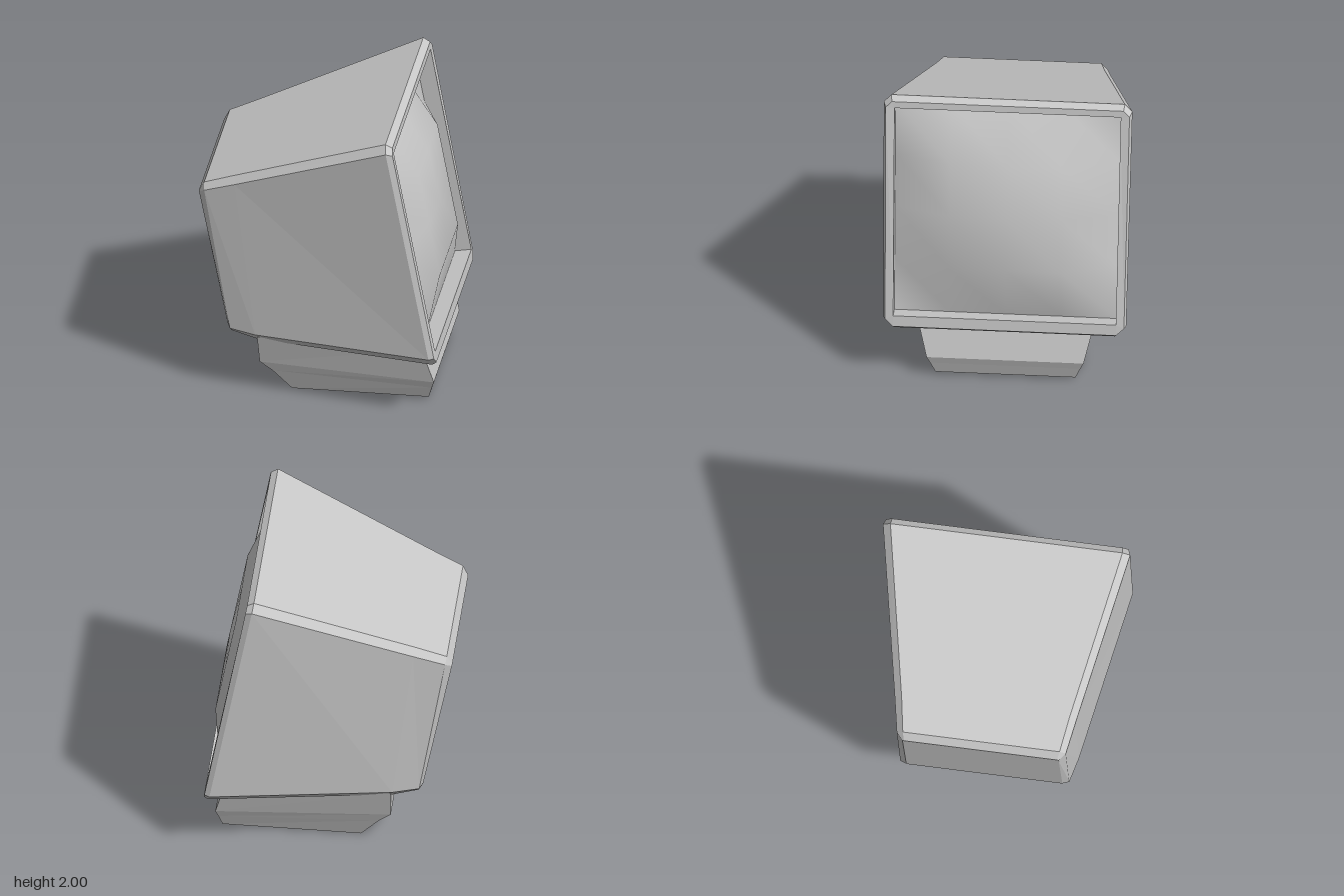
import * as THREE from 'three';

const grey = new THREE.MeshStandardMaterial({ color: 0xc8c8c8 });
grey.name = 'light grey plastic';

// Flat-faced skin through rings with equal point counts, with optional end caps
function loft(rings, capStart, capEnd) {
  const pos = [];
  const tri = (a, b, c) => {
    const area = b.clone().sub(a).cross(c.clone().sub(a)).length();
    if (area > 1e-7) pos.push(...a.toArray(), ...b.toArray(), ...c.toArray());
  };
  const n = rings[0].length;
  for (let i = 0; i < rings.length - 1; i++) {
    for (let j = 0; j < n; j++) {
      const k = (j + 1) % n;
      const [a, b, c, d] = [rings[i][j], rings[i][k], rings[i + 1][k], rings[i + 1][j]];
      tri(a, b, c);
      tri(a, c, d);
    }
  }
  const last = rings[rings.length - 1];
  for (let j = 1; j < n - 1; j++) {
    if (capStart) tri(rings[0][0], rings[0][j + 1], rings[0][j]);
    if (capEnd) tri(last[0], last[j], last[j + 1]);
  }
  const g = new THREE.BufferGeometry();
  g.setAttribute('position', new THREE.Float32BufferAttribute(pos, 3));
  g.computeVertexNormals();
  return g;
}

// Point on a tilted cross-section: u runs from top to bottom, w across
const section = ([tx, ty], [bx, by], ht, hb, u, w) => new THREE.Vector3(
  tx + (bx - tx) * u, ty + (by - ty) * u, w * (ht + (hb - ht) * u));

// Tilted rectangle with chamfered corners
function ring(top, bottom, ht, hb, ct, cb) {
  const len = Math.hypot(top[0] - bottom[0], top[1] - bottom[1]);
  const at = (u, w) => section(top, bottom, ht, hb, u, w);
  const t = ct / len, b = 1 - cb / len, wt = 1 - ct / ht, wb = 1 - cb / hb;
  return [at(b, -1), at(t, -1), at(0, -wt), at(0, wt),
    at(t, 1), at(b, 1), at(1, wb), at(1, -wb)];
}

function add(group, name, geometry) {
  const mesh = new THREE.Mesh(geometry, grey);
  mesh.name = name;
  group.add(mesh);
}

export function createModel() {
  const model = new THREE.Group();
  model.name = 'monitor';

  // Tapered housing, bevelled front rim and recess walls
  const screenTop = [0.408, 1.91], screenBottom = [0.677, 0.475];
  add(model, 'housing', loft([
    ring([-0.8, 1.43], [-0.61, 0.47], 0.51, 0.51, 0.01, 0.01),
    ring([-0.765, 1.495], [-0.585, 0.437], 0.552, 0.552, 0.04, 0.025),
    ring([-0.56, 1.579], [-0.41, 0.388], 0.592, 0.592, 0.045, 0.06),
    ring([0.465, 2.0], [0.765, 0.395], 0.808, 0.787, 0.05, 0.07),
    ring([0.51, 1.975], [0.795, 0.42], 0.792, 0.775, 0.04, 0.05),
    ring([0.516, 1.93], [0.785, 0.495], 0.735, 0.723, 0, 0),
    ring(screenTop, screenBottom, 0.735, 0.723, 0, 0),
  ], true, false));

  // Bulging smooth screen: a 4 x 4 patch raised along the tilted face's normal
  const N = 4, pos = [], idx = [];
  const rise = [0, 0.76, 1, 0.76, 0];
  const normal = new THREE.Vector3(0.983, 0.184, 0);
  for (let i = 0; i <= N; i++) {
    for (let j = 0; j <= N; j++) {
      const p = section(screenTop, screenBottom, 0.735, 0.723, i / N, j / 2 - 1);
      const inside = rise[i] * rise[j] > 0;
      const bulge = inside ? 0.115 + 0.045 * Math.min(rise[i], rise[j]) : 0;
      p.addScaledVector(normal, bulge);
      pos.push(...p.toArray());
      if (i < N && j < N) {
        const a = i * (N + 1) + j, b = a + 1, c = a + N + 1, d = c + 1;
        idx.push(a, b, c, b, d, c);
      }
    }
  }
  // Winding toward the front: reverse each triangle
  for (let k = 0; k < idx.length; k += 3) {
    const ab = new THREE.Vector3().fromArray(pos, idx[k + 1] * 3).sub(new THREE.Vector3().fromArray(pos, idx[k] * 3));
    const ac = new THREE.Vector3().fromArray(pos, idx[k + 2] * 3).sub(new THREE.Vector3().fromArray(pos, idx[k] * 3));
    if (ab.cross(ac).dot(normal) < 0) [idx[k + 1], idx[k + 2]] = [idx[k + 2], idx[k + 1]];
  }
  const screen = new THREE.BufferGeometry();
  screen.setAttribute('position', new THREE.Float32BufferAttribute(pos, 3));
  screen.setIndex(idx);
  screen.computeVertexNormals();
  add(model, 'screen', screen);

  // Stepped pedestal, from the foot up: front x, y / back x, y / half width front, back
  const tiers = [
    [0.70, 0.02, -0.2, 0, 0.455, 0.44],
    [0.725, 0.105, -0.32, 0.145, 0.488, 0.49],
    [0.742, 0.157, -0.4, 0.215, 0.51, 0.515],
    [0.672, 0.42, -0.408, 0.42, 0.575, 0.57],
  ];
  add(model, 'pedestal', loft(tiers.map(([fx, fy, bx, by, fw, bw]) => [
    new THREE.Vector3(fx, fy, fw), new THREE.Vector3(fx, fy, -fw),
    new THREE.Vector3(bx, by, -bw), new THREE.Vector3(bx, by, bw),
  ]), true, true));

  return model;
}
